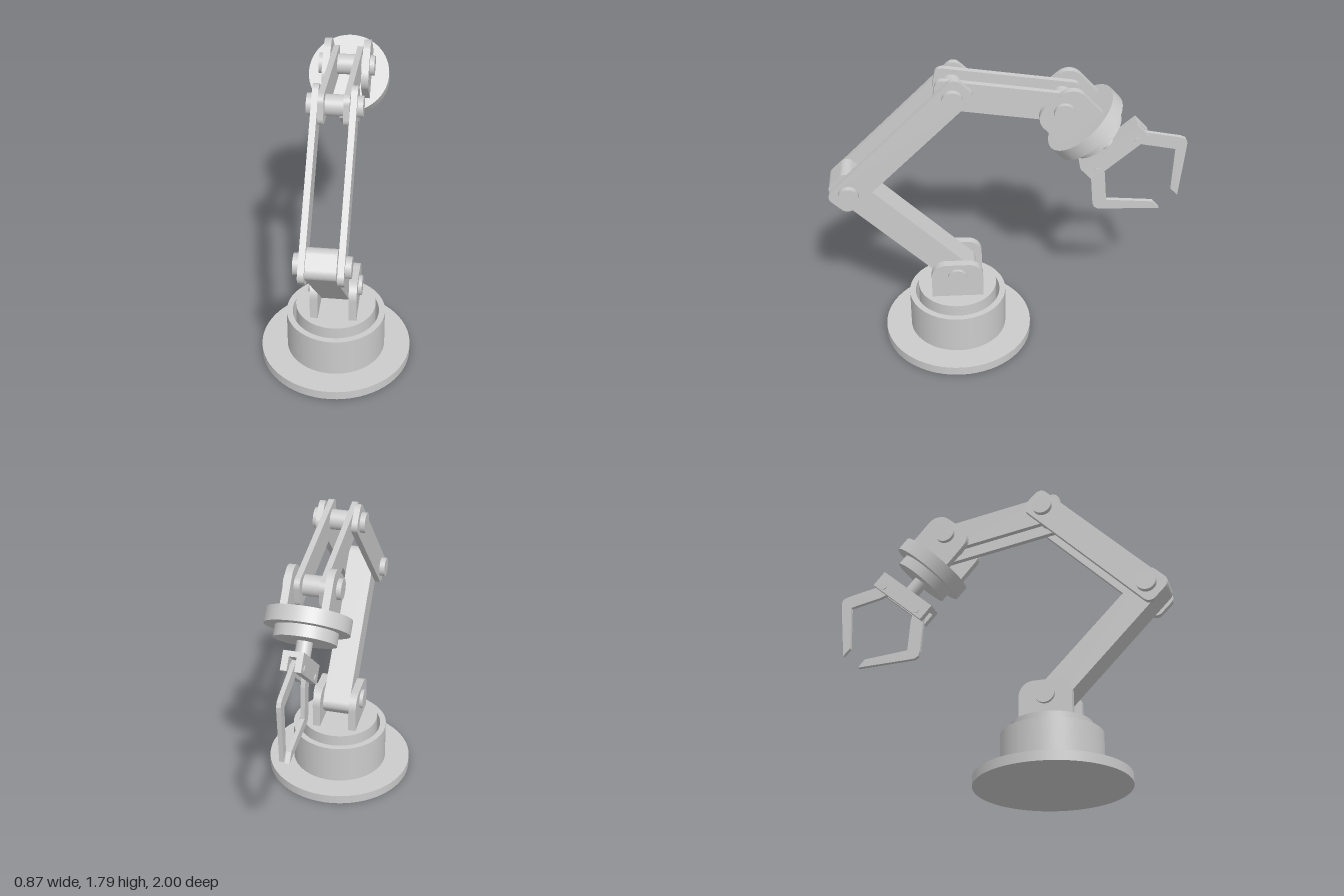
import * as THREE from 'three';

const material = new THREE.MeshStandardMaterial({ color: 0xcccccc });

function add(parent, name, geometry, x = 0, y = 0, z = 0) {
  const mesh = new THREE.Mesh(geometry, material);
  mesh.name = name;
  mesh.position.set(x, y, z);
  parent.add(mesh);
  return mesh;
}

// Extrude a shape to a plate centred on its thickness
function plate(shape, thickness) {
  return new THREE.ExtrudeGeometry(shape, { depth: thickness, bevelEnabled: false, curveSegments: 8 })
    .translate(0, 0, -thickness / 2);
}

// Bar with rounded corners, running from x = -over to length + over
function linkShape(length, half, over, r) {
  const s = new THREE.Shape();
  const x0 = -over, x1 = length + over;
  s.moveTo(x0 + r, -half);
  s.lineTo(x1 - r, -half);
  s.absarc(x1 - r, -half + r, r, -Math.PI / 2, 0);
  s.lineTo(x1, half - r);
  s.absarc(x1 - r, half - r, r, 0, Math.PI / 2);
  s.lineTo(x0 + r, half);
  s.absarc(x0 + r, half - r, r, Math.PI / 2, Math.PI);
  s.lineTo(x0, -half + r);
  s.absarc(x0 + r, -half + r, r, Math.PI, Math.PI * 1.5);
  return s;
}

// Lug with a flat foot and two rounded top corners, pivot at the origin
function lugShape(half, foot, top, r) {
  const s = new THREE.Shape();
  s.moveTo(-half, -foot);
  s.lineTo(half, -foot);
  s.lineTo(half, top - r);
  s.absarc(half - r, top - r, r, 0, Math.PI / 2);
  s.lineTo(-half + r, top);
  s.absarc(-half + r, top - r, r, Math.PI / 2, Math.PI);
  return s;
}

// Link from joint a to joint b, at sideways offset z
function addLink(parent, name, a, b, half, thickness, z) {
  const d = b.clone().sub(a);
  const mesh = add(parent, name, plate(linkShape(d.length(), half, 0.1, 0.045), thickness), a.x, a.y, z);
  mesh.rotation.z = d.angle();
}

function addPin(parent, name, p, halfLength, r = 0.057) {
  add(parent, name, new THREE.CylinderGeometry(r, r, halfLength * 2, 32).rotateX(Math.PI / 2), p.x, p.y, 0);
}

// Cylinder along x from x0 to x1
function addDisc(parent, name, r, x0, x1) {
  add(parent, name, new THREE.CylinderGeometry(r, r, x1 - x0, 64).rotateZ(Math.PI / 2), (x0 + x1) / 2);
}

export function createModel() {
  const model = new THREE.Group();
  model.name = 'robotArm';

  // Base: flange, hollow drum and turntable
  const base = new THREE.Group();
  base.name = 'base';
  base.position.z = 0.3;
  model.add(base);
  add(base, 'flange', new THREE.CylinderGeometry(0.435, 0.435, 0.055, 64), 0, 0.0275, 0);
  const ring = new THREE.Shape().absarc(0, 0, 0.285, 0, Math.PI * 2);
  ring.holes.push(new THREE.Path().absarc(0, 0, 0.25, 0, Math.PI * 2, true));
  const drum = new THREE.ExtrudeGeometry(ring, { depth: 0.245, bevelEnabled: false, curveSegments: 64 });
  add(base, 'drum', drum.rotateX(-Math.PI / 2), 0, 0.05, 0);
  add(base, 'turntable', new THREE.CylinderGeometry(0.23, 0.23, 0.3, 64), 0, 0.2, 0);

  // Arm: local x runs backwards, local z sideways, slightly turned on the base
  const arm = new THREE.Group();
  arm.name = 'arm';
  arm.position.z = 0.3;
  arm.rotation.y = Math.PI / 2 - 0.025;
  model.add(arm);

  const shoulder = new THREE.Vector2(0, 0.49);
  const elbow = new THREE.Vector2(-0.587, 1.088);
  const topJoint = new THREE.Vector2(0, 1.68);
  const wrist = new THREE.Vector2(0.595, 1.588);

  addLink(arm, 'lowerArm', shoulder, elbow, 0.083, 0.16, 0);
  for (const side of [-1, 1]) {
    add(arm, 'shoulderBracket', plate(lugShape(0.15, 0.145, 0.085, 0.085), 0.045), shoulder.x, shoulder.y, side * 0.11);
    addLink(arm, 'upperArmPlate', elbow, topJoint, 0.083, 0.034, side * 0.101);
    addLink(arm, 'forearmPlate', topJoint, wrist, 0.086, 0.032, side * 0.067);
  }
  addPin(arm, 'shoulderPin', shoulder, 0.153);
  addPin(arm, 'elbowPin', elbow, 0.15);
  addPin(arm, 'topPin', topJoint, 0.148);
  addPin(arm, 'wristPin', wrist, 0.156);

  // Wrist and gripper: local x points along the tool axis
  const tool = new THREE.Group();
  tool.name = 'wristTool';
  tool.position.set(wrist.x, wrist.y, 0);
  tool.rotation.z = THREE.MathUtils.degToRad(-48.3);
  arm.add(tool);

  for (const side of [-1, 1]) {
    const lug = plate(lugShape(0.145, 0.16, 0.088, 0.085), 0.04).rotateZ(Math.PI / 2);
    add(tool, 'wristBracket', lug, 0, 0, side * 0.11);
  }
  addDisc(tool, 'wristDisc', 0.23, 0.152, 0.235);
  addDisc(tool, 'wristCollar', 0.17, 0.235, 0.3);
  addDisc(tool, 'gripperShaft', 0.043, 0.3, 0.4);

  // Gripper bar: a channel that holds the fingers
  add(tool, 'gripperWeb', new THREE.BoxGeometry(0.03, 0.41, 0.11), 0.4, 0.006, 0);
  for (const side of [-1, 1]) {
    add(tool, 'gripperCheek', new THREE.BoxGeometry(0.105, 0.41, 0.035), 0.4375, 0.006, side * 0.0375);
  }

  // Mirrored bent fingers with pivots
  const finger = [
    [0.418, 0.128], [0.45, 0.098], [0.523, 0.135], [0.677, 0.25], [0.873, 0.065],
    [0.935, 0.067], [0.71, 0.305], [0.69, 0.325], [0.665, 0.332], [0.638, 0.32], [0.425, 0.16],
  ];
  for (const side of [-1, 1]) {
    const shape = new THREE.Shape(finger.map(([u, v]) => new THREE.Vector2(u, side * v)));
    add(tool, 'finger', plate(shape, 0.024), 0, 0.006, 0);
    addPin(tool, 'fingerPin', new THREE.Vector2(0.462, 0.006 + side * 0.142), 0.06, 0.02);
  }
  return model;
}
